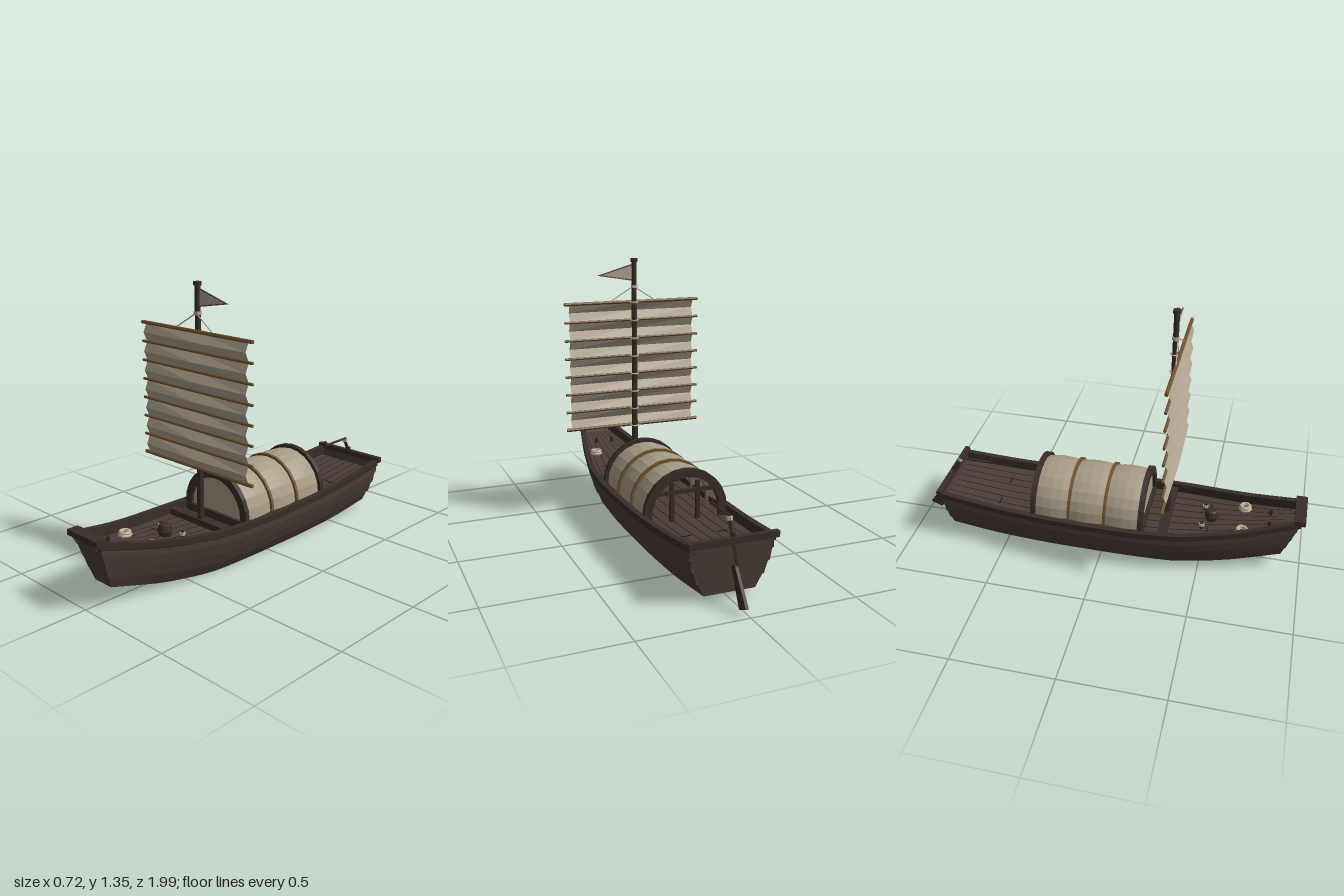
import * as THREE from 'three';

const mat = (name, color) => Object.assign(new THREE.MeshStandardMaterial({ color, flatShading: true, side: THREE.DoubleSide }), { name });

export function createModel() {
  const root = new THREE.Group();
  root.name = 'sailingBoat';
  const wood = mat('hull wood', 0x4b3d37);
  const dark = mat('dark wood', 0x392e29);
  const seam = mat('seam', 0x231c19);
  const bamboo = mat('bamboo', 0x735430);
  const cloth = mat('sailcloth', 0xb0a38f);
  const mattingMat = mat('matting', 0xa79c86);
  const rope = mat('rope', 0xbdb199);
  const trim = mat('flag trim', 0x5d5041);

  const add = (name, geo, m, x = 0, y = 0, z = 0, parent = root) => {
    const mesh = new THREE.Mesh(geo, m);
    mesh.name = name;
    mesh.position.set(x, y, z);
    parent.add(mesh);
    return mesh;
  };
  const box = (name, w, h, d, m, x, y, z) => add(name, new THREE.BoxGeometry(w, h, d), m, x, y, z);
  const V = (x, y, z) => new THREE.Vector3(x, y, z);
  const rod = (name, a, b, r, m, sides = 6, r2 = r) => {
    const d = b.clone().sub(a);
    const mesh = add(name, new THREE.CylinderGeometry(r2, r, d.length(), sides), m);
    mesh.position.copy(a).addScaledVector(d, 0.5);
    mesh.quaternion.setFromUnitVectors(V(0, 1, 0), d.normalize());
    return mesh;
  };
  // Surface sampled from fn(u, v), u and v in 0..1
  const grid = (nu, nv, fn) => {
    const pos = [], idx = [];
    for (let i = 0; i <= nu; i++) for (let j = 0; j <= nv; j++) pos.push(...fn(i / nu, j / nv));
    for (let i = 0; i < nu; i++) for (let j = 0; j < nv; j++) {
      const a = i * (nv + 1) + j, b = a + nv + 1;
      idx.push(a, b, a + 1, b, b + 1, a + 1);
    }
    const g = new THREE.BufferGeometry();
    g.setAttribute('position', new THREE.Float32BufferAttribute(pos, 3));
    g.setIndex(idx);
    const flat = g.toNonIndexed();
    flat.computeVertexNormals();
    return flat;
  };

  // Hull lines from stern to bow: sheer height, half beam, keel height
  const lines = new THREE.CatmullRomCurve3([
    V(0.265, 0.195, 0.03), V(0.237, 0.214, 0.006), V(0.225, 0.227, 0), V(0.222, 0.23, 0),
    V(0.23, 0.217, 0), V(0.262, 0.162, 0.028), V(0.325, 0.09, 0.09)]);
  const lerp = THREE.MathUtils.lerp;
  const hull = (s, u) => {
    const { x: sheer, y: beam, z: keel } = lines.getPoint(s);
    return [beam * lerp(0.62, 1, Math.sin(u * Math.PI / 2)), lerp(keel, sheer, u),
      lerp(lerp(-0.81, 0.9, s), lerp(-0.83, 0.98, s), u)];
  };
  const sOf = z => (z + 0.83) / 1.81;

  // Overlapping strakes and gunwales on both sides
  const strakes = 4;
  for (const side of [-1, 1]) {
    for (let k = 0; k < strakes; k++) {
      add('strake', grid(22, 2, (s, v) => {
        const [x, y, z] = hull(s, (k + Math.max(0, v * 2 - 1)) / strakes);
        const lap = v === 0.5 && k > 0 ? 0.007 : 0;
        return [side * (x + lap), y, z];
      }), wood);
    }
    const section = [[0.008, -0.022], [0.008, 0.008], [-0.02, 0.008], [-0.02, -0.04], [0.008, -0.022]];
    add('gunwale', grid(22, 4, (s, v) => {
      const [x, y, z] = hull(s, 1), c = section[Math.round(v * 4)];
      return [side * (x + c[0]), y + c[1], z];
    }), dark);
  }
  add('hullBottom', grid(22, 1, (s, v) => {
    const [x, y, z] = hull(s, 0);
    return [x * (v * 2 - 1), y, z];
  }), wood);
  for (const [name, s] of [['sternTransom', 0], ['bowTransom', 1]]) {
    add(name, grid(4, 1, (u, v) => {
      const [x, y, z] = hull(s, u);
      return [x * (v * 2 - 1), y, z];
    }), wood);
  }
  box('bowCap', 0.208, 0.026, 0.055, dark, 0, 0.332, 0.972);
  box('sternCap', 0.42, 0.028, 0.026, dark, 0, 0.274, -0.838);

  // Deck planks over a dark underlay that shows through the gaps
  const deckPoint = (s, f, drop) => {
    const [x, y, z] = hull(s, 0.82);
    return [f * (x - 0.006), lines.getPoint(s).x - drop, z];
  };
  const deckY = z => lines.getPoint(sOf(z)).x - 0.045;
  add('deckSeams', grid(22, 1, (s, v) => deckPoint(s, v * 2 - 1, 0.05)), seam);
  const planks = 8;
  for (let k = 0; k < planks; k++) {
    add('deckPlank', grid(22, 1, (s, v) => deckPoint(s, (k + lerp(0.05, 0.95, v)) / planks * 2 - 1, 0.045)), wood);
  }
  for (const z of [-0.55, 0.53]) for (const x of [-0.09, 0.09]) {
    box('plankJoint', 0.05, 0.004, 0.006, seam, x, deckY(z) + 0.001, z);
  }

  // Arched shelter: scalloped matting, hoops and end frames
  const arch = (r, a) => [r * Math.cos(a), 0.225 + r * Math.sin(a)];
  add('shelterRoof', grid(12, 12, (u, v) => {
    const r = 0.19 + 0.011 * Math.abs(Math.sin(u * 3 * Math.PI));
    const [x, y] = arch(r, v * Math.PI);
    return [x, y, lerp(-0.34, 0.21, u)];
  }), mattingMat);
  const hoop = (name, rOut, rIn, depth, z, m) => {
    const pts = [];
    for (let i = 0; i <= 12; i++) pts.push(new THREE.Vector2(...arch(rOut, i * Math.PI / 12)));
    pts.push(new THREE.Vector2(-rOut, 0.185), new THREE.Vector2(-rIn, 0.185));
    for (let i = 12; i >= 0; i--) pts.push(new THREE.Vector2(...arch(rIn, i * Math.PI / 12)));
    pts.push(new THREE.Vector2(rIn, 0.185), new THREE.Vector2(rOut, 0.185));
    add(name, new THREE.ExtrudeGeometry(new THREE.Shape(pts), { depth, bevelEnabled: false }), m, 0, 0, z - depth / 2);
  };
  hoop('shelterEndFrame', 0.21, 0.17, 0.024, 0.208, dark);
  hoop('shelterEndFrame', 0.21, 0.17, 0.024, -0.34, dark);
  for (const z of [0.025, -0.157]) hoop('shelterHoop', 0.204, 0.188, 0.014, z, bamboo);
  add('shelterFrontPanel', new THREE.CircleGeometry(0.18, 12, 0, Math.PI), mattingMat, 0, 0.22, 0.205);
  box('shelterSill', 0.4, 0.04, 0.026, dark, 0, 0.2, 0.208);
  for (const x of [-0.065, 0.065]) box('doorPost', 0.018, 0.19, 0.018, dark, x, 0.275, -0.335);
  box('doorLintel', 0.3, 0.018, 0.018, dark, 0, 0.325, -0.335);

  // Mast with its step beam and truck
  const mastZ = 0.315;
  rod('mast', V(0, 0.17, mastZ), V(0, 1.335, mastZ), 0.017, dark, 8, 0.013);
  add('mastTruck', new THREE.CylinderGeometry(0.018, 0.018, 0.018, 8), dark, 0, 1.337, mastZ);
  box('mastBeam', 0.42, 0.03, 0.045, dark, 0, 0.205, mastZ);
  add('mastLashing', new THREE.CylinderGeometry(0.018, 0.018, 0.016, 8), rope, 0, 1.205, mastZ);

  // Battened sail, each panel bulging forward
  const panels = 7, sailLow = 0.48, sailHigh = 1.125;
  add('sail', grid(panels * 2, 2, (u, v) => {
    const mid = Math.round(u * panels * 2) % 2;
    return [lerp(-0.335, 0.335, v), lerp(sailLow, sailHigh, u), 0.335 + mid * (v === 0.5 ? 0.028 : 0.02)];
  }), cloth);
  for (let i = 0; i <= panels; i++) {
    const y = lerp(sailLow, sailHigh, i / panels), end = i === 0 || i === panels;
    rod('batten', V(-0.362, y, 0.338), V(0.362, y, 0.338), end ? 0.009 : 0.007, bamboo);
    add('mastHoop', new THREE.TorusGeometry(0.02, 0.004, 4, 8), rope, 0, y, mastZ).rotation.x = Math.PI / 2;
  }
  for (const side of [-1, 1]) rod('halyard', V(0, 1.205, mastZ + 0.01), V(side * 0.12, 1.13, 0.338), 0.003, rope, 5);

  // Pennant with a darker border
  const pennant = (name, pts, depth, m) => add(name, new THREE.ExtrudeGeometry(
    new THREE.Shape(pts.map(p => new THREE.Vector2(...p))), { depth, bevelEnabled: false }), m, 0, 0, mastZ - depth / 2);
  pennant('pennantBorder', [[0.01, 1.233], [0.195, 1.264], [0.01, 1.318]], 0.004, trim);
  pennant('pennant', [[0.016, 1.241], [0.172, 1.265], [0.016, 1.309]], 0.007, cloth);

  // Steering oar on the stern
  rod('oarShaft', V(0, 0.365, -0.79), V(0, 0.15, -0.89), 0.009, dark);
  rod('oarHandle', V(0, 0.362, -0.62), V(0, 0.365, -0.8), 0.007, dark);
  rod('oarGrip', V(0, 0.355, -0.622), V(0, 0.388, -0.622), 0.006, dark);
  const blade = new THREE.Shape([[0.875, 0.185], [0.858, 0.168], [0.935, 0.01], [0.995, 0.036], [0.893, 0.18]]
    .map(p => new THREE.Vector2(...p)));
  add('oarBlade', new THREE.ExtrudeGeometry(blade, { depth: 0.014, bevelEnabled: false }), dark, 0.007, 0, 0).rotation.y = Math.PI / 2;
  add('oarLashing', new THREE.CylinderGeometry(0.013, 0.013, 0.018, 6), rope, 0, 0.355, -0.795);
  rod('oarPivot', V(0, 0.25, -0.838), V(0, 0.305, -0.832), 0.011, dark);

  // Foredeck gear: windlass barrel, rope coils and bollards
  const y0 = deckY(0.54);
  const barrel = [[0, 0], [0.027, 0], [0.036, 0.028], [0.028, 0.056], [0.02, 0.06], [0, 0.06]];
  add('barrel', new THREE.LatheGeometry(barrel.map(p => new THREE.Vector2(...p)), 10), dark, 0, y0, 0.54);
  for (const x of [-1, 1]) {
    for (let k = 0; k < 2; k++) {
      add('ropeCoil', new THREE.TorusGeometry(0.025 - k * 0.003, 0.009, 6, 12), rope,
        x * 0.092, deckY(0.7) + 0.008 + k * 0.012, 0.7).rotation.x = Math.PI / 2;
    }
    rod('bollard', V(x * 0.075, deckY(0.5), 0.5), V(x * 0.075, deckY(0.5) + 0.04, 0.5), 0.01, dark);
    add('bollardRope', new THREE.CylinderGeometry(0.014, 0.014, 0.014, 8), rope, x * 0.075, deckY(0.5) + 0.025, 0.5);
    rod('cleat', V(x * 0.045, deckY(0.83), 0.83), V(x * 0.045, deckY(0.83) + 0.03, 0.83), 0.009, dark);
  }
  return root;
}
